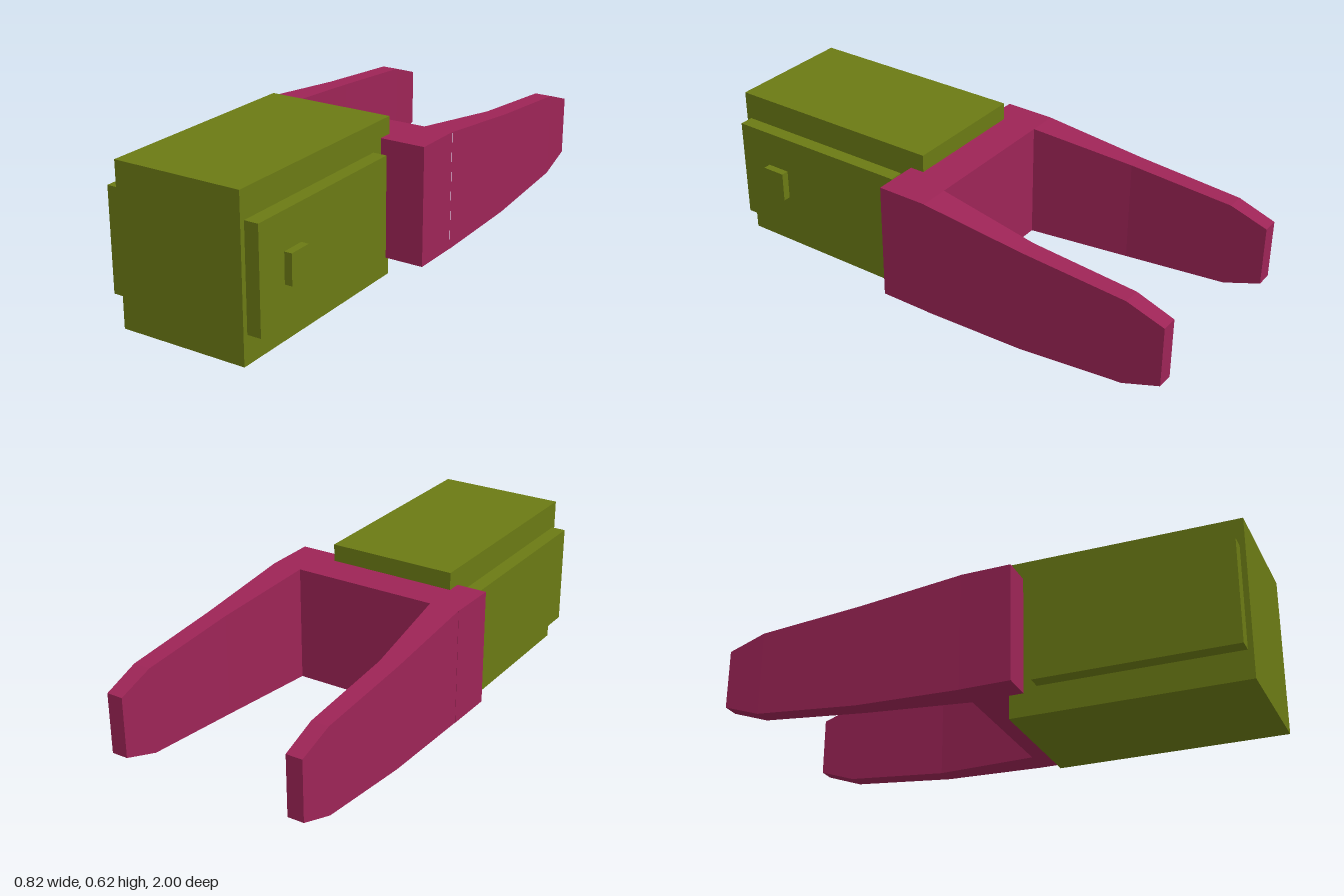
import * as THREE from 'three';

const olive = new THREE.MeshStandardMaterial({ color: 0x6b7a14 });
const magenta = new THREE.MeshStandardMaterial({ color: 0x9d2456, flatShading: true });

// Box given by its minimum and maximum corners
function box(name, [x0, y0, z0], [x1, y1, z1]) {
  const mesh = new THREE.Mesh(new THREE.BoxGeometry(x1 - x0, y1 - y0, z1 - z0), olive);
  mesh.position.set((x0 + x1) / 2, (y0 + y1) / 2, (z0 + z1) / 2);
  mesh.name = name;
  return mesh;
}

// Loft through rectangles [z, x0, x1, y0, y1], ordered from front to back
function loft(name, sections, frontCap = true) {
  const pos = [];
  const idx = [];
  const quad = (a, b, c, d) => idx.push(a, b, c, a, c, d);
  for (const [z, x0, x1, y0, y1] of sections) {
    pos.push(x0, y0, z, x1, y0, z, x1, y1, z, x0, y1, z);
  }
  for (let s = 0; s < sections.length - 1; s++) {
    for (let k = 0; k < 4; k++) {
      const a = s * 4 + k, b = s * 4 + (k + 1) % 4;
      quad(a, a + 4, b + 4, b);
    }
  }
  const e = (sections.length - 1) * 4;
  if (frontCap) quad(0, 1, 2, 3);
  quad(e + 3, e + 2, e + 1, e);
  const indexed = new THREE.BufferGeometry();
  indexed.setAttribute('position', new THREE.Float32BufferAttribute(pos, 3));
  indexed.setIndex(idx);
  const geometry = indexed.toNonIndexed();
  geometry.computeVertexNormals();
  const mesh = new THREE.Mesh(geometry, magenta);
  mesh.name = name;
  return mesh;
}

export function createModel() {
  const model = new THREE.Group();
  model.name = 'forkedBlock';

  // Block with a raised panel on each side and a small button on the left
  const body = new THREE.Group();
  body.name = 'body';
  body.add(
    box('mainBlock', [-0.29, 0, 0.115], [0.225, 0.618, 1]),
    box('leftPanel', [0.225, 0.11, 0.222], [0.28, 0.51, 0.98]),
    box('rightPanel', [-0.347, 0.11, 0.222], [-0.29, 0.51, 0.98]),
    box('button', [0.28, 0.25, 0.75], [0.31, 0.367, 0.845]),
  );

  // Fork: cross bar and two tapering arms
  const fork = new THREE.Group();
  fork.name = 'fork';
  fork.add(loft('crossBar', [
    [0.172, -0.41, 0.404, 0.09, 0.55],
    [-0.027, -0.407, 0.405, 0.09, 0.55],
  ]));
  // Shared arm profile: z, inner x, outer x, bottom, top
  const arm = [
    [-0.027, 0.288, 0.406, 0.09, 0.55],
    [-0.44, 0.331, 0.406, 0.1, 0.505],
    [-0.855, 0.336, 0.404, 0.137, 0.472],
    [-1, 0.338, 0.402, 0.188, 0.422],
  ];
  fork.add(
    loft('leftArm', arm, false),
    loft('rightArm', arm.map(([z, i, o, y0, y1]) => [z, -o, -i, y0, y1]), false),
  );

  model.add(body, fork);
  return model;
}
